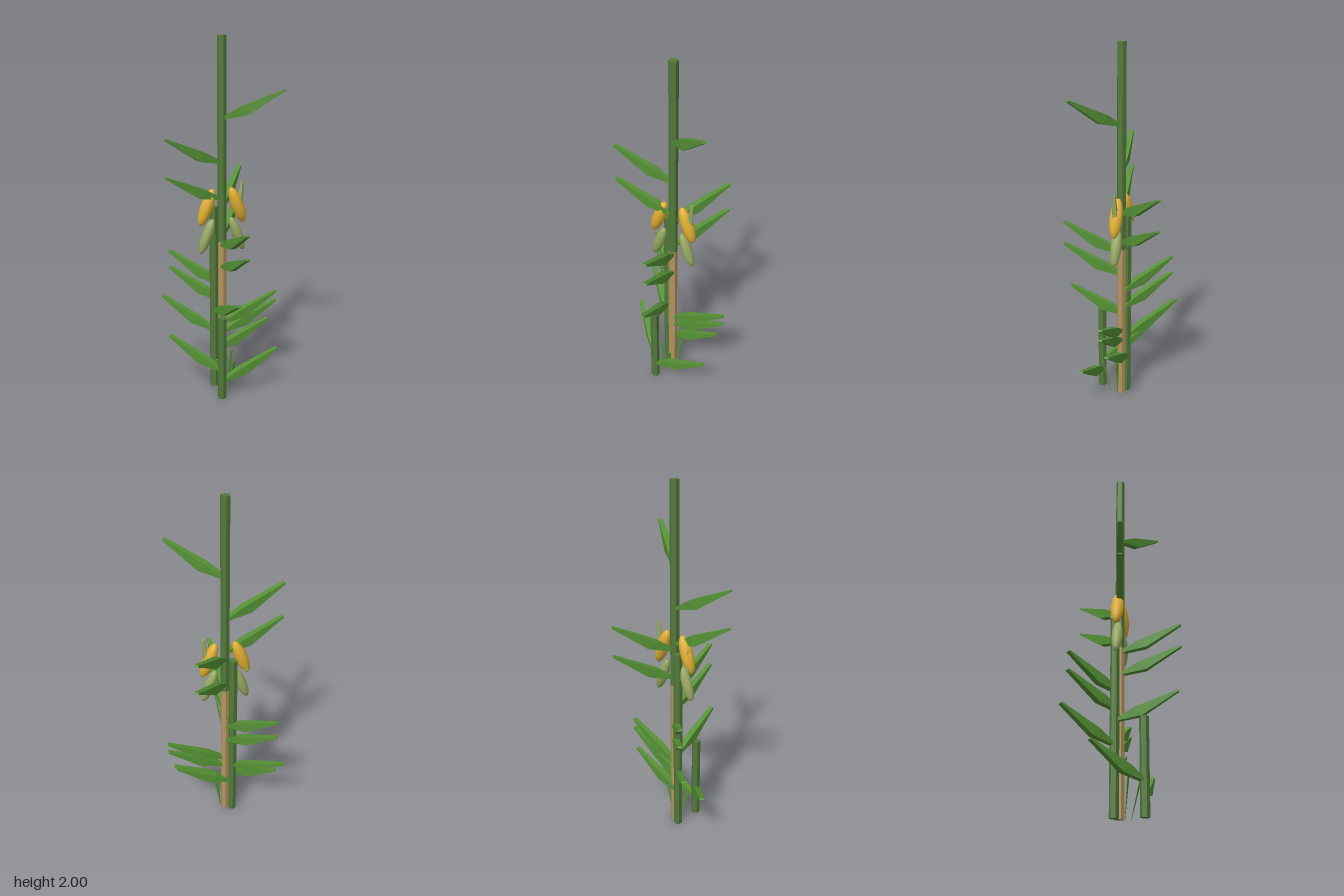
import * as THREE from 'three';

const paint = (name, color) => {
  const m = new THREE.MeshStandardMaterial({ color });
  m.name = name;
  return m;
};

// Give every face its own normal
const faceted = (geo) => {
  const g = geo.index ? geo.toNonIndexed() : geo;
  g.computeVertexNormals();
  return g;
};

// Four-sided blade running along +x: rises, swells to the middle, narrows to the tip
function leafGeometry() {
  // [top x, top y, bottom x, bottom y, half width]
  const sections = [
    [0, 0.01, 0.005, 0, 0.014],
    [0.1, 0.07, 0.143, 0.028, 0.019],
    [0.328, 0.163, 0.333, 0.155, 0.012],
  ].map(([tx, ty, bx, by, w]) => [[tx, ty, w], [tx, ty, -w], [bx, by, -w], [bx, by, w]]);
  const pos = [];
  const quad = (a, b, c, d) => pos.push(...a, ...b, ...c, ...a, ...c, ...d);
  for (let i = 0; i < 2; i++) {
    const a = sections[i], b = sections[i + 1];
    for (let j = 0; j < 4; j++) {
      const k = (j + 1) % 4;
      quad(a[j], b[j], b[k], a[k]);
    }
  }
  const [root, , tip] = sections;
  quad(root[0], root[1], root[2], root[3]);
  quad(tip[0], tip[3], tip[2], tip[1]);
  const g = new THREE.BufferGeometry();
  g.setAttribute('position', new THREE.Float32BufferAttribute(pos, 3));
  return faceted(g);
}

export function createModel() {
  const model = new THREE.Group();
  model.name = 'plant';
  const stemGreen = paint('stem green', 0x52793a);
  const leafGreen = paint('leaf green', 0x559235);
  const tan = paint('dry stem tan', 0xb4945f);
  const gold = paint('ripe gold', 0xe0ae32);
  const olive = paint('unripe olive', 0x98a962);

  const add = (name, geo, mat, x, y, z, parent = model) => {
    const m = new THREE.Mesh(geo, mat);
    m.name = name;
    m.position.set(x, y, z);
    parent.add(m);
    return m;
  };

  // Hexagonal stems
  const stem = (name, mat, x, z, y0, y1, r = 0.025) =>
    add(name, faceted(new THREE.CylinderGeometry(r, r, y1 - y0, 6)), mat, x, (y0 + y1) / 2, z);
  const main = [0, -0.031], rear = [-0.041, -0.05], front = [-0.045, 0.102];
  stem('mainStemBase', tan, ...main, 0, 0.9);
  stem('mainStem', stemGreen, ...main, 0.9, 2);
  stem('rearStem', stemGreen, ...rear, 0, 1.1);
  stem('frontStem', stemGreen, ...front, 0, 0.5);

  // Leaves: stem, root height, outward direction (x, z)
  const leafGeo = leafGeometry();
  const leaves = [
    [main, 1.575, 0.275, 0.183],
    [main, 1.338, -0.328, 0.055],
    [main, 1.138, -0.328, 0.055],
    [main, 1.1, 0.197, -0.264],
    [main, 0.935, 0.197, -0.264],
    [main, 0.872, 0.027, 0.33],
    [main, 0.745, 0.027, 0.33],
    [main, 0.64, -0.243, -0.222],
    [main, 0.54, -0.243, -0.222],
    [main, 0.4, 0.33, 0],
    [main, 0.343, 0.33, 0],
    [rear, 0.48, 0.03, 0.33],
    [rear, 0.353, -0.243, -0.222],
    [rear, 0.222, 0.33, 0],
    [front, 0.168, -0.24, -0.222],
    [front, 0.102, 0.33, 0],
  ];
  for (const [[x, z], y, dx, dz] of leaves) {
    add('leaf', leafGeo, leafGreen, x, y, z).rotation.y = Math.atan2(-dz, dx);
  }

  // Hanging pods, mirrored on both sides of the main stem
  const pod = new THREE.SphereGeometry(1, 12, 10);
  for (const side of [-1, 1]) {
    const ripe = add('ripePod', pod, gold, side * 0.088, 1.103, -0.031);
    ripe.scale.set(0.035, 0.108, 0.036);
    const unripe = add('unripePod', pod, olive, side * 0.088, 0.937, -0.031);
    unripe.scale.set(0.03, 0.104, 0.03);
    ripe.rotation.z = unripe.rotation.z = side * 0.36;
  }

  // Pointed shoots beside the pods
  const shoot = (x, y, z, h) => {
    const geo = faceted(new THREE.CylinderGeometry(0.009, 0.02, h, 5));
    add('podShoot', geo, olive, x, y, z).rotation.z = -0.1;
  };
  shoot(0.108, 1.16, -0.031, 0.15);
  shoot(-0.108, 1.08, -0.045, 0.11);

  // Slim blades leaning out from the base
  const up = new THREE.Vector3(0, 1, 0);
  const bladeGeo = faceted(new THREE.CylinderGeometry(0.012, 0.002, 1, 4));
  for (const [a, b] of [
    [[0.02, 0, 0.025], [0.035, 0.2, 0.07]],
    [[-0.015, 0, 0], [-0.052, 0.2, 0.022]],
    [[0.025, 0, -0.02], [0.055, 0.22, -0.03]],
  ]) {
    const p = new THREE.Vector3(...a), q = new THREE.Vector3(...b);
    const dir = q.clone().sub(p), len = dir.length();
    const mid = p.add(q).multiplyScalar(0.5);
    const blade = add('baseBlade', bladeGeo, leafGreen, mid.x, mid.y, mid.z);
    blade.quaternion.setFromUnitVectors(up, dir.normalize());
    blade.scale.set(1, len, 0.5);
  }
  return model;
}
